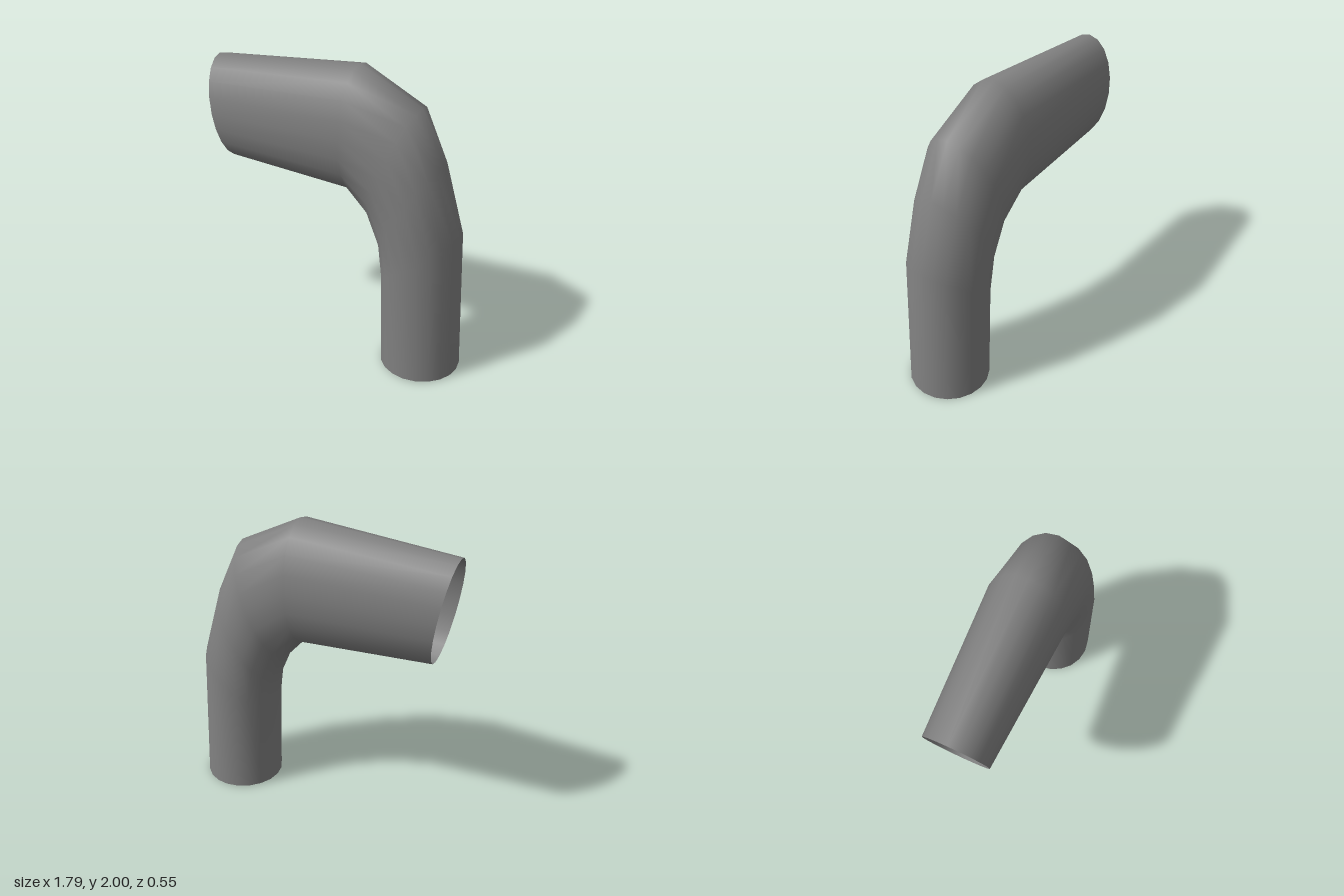
import * as THREE from 'three';

// Cross-sections along the pipe: outer x, y, inner x, y, half depth, z centre
const RINGS = [
  [-0.897, 1.91, -0.783, 1.213, 0.21, -0.008],
  [0.14, 2.00, 0.115, 1.17, 0.265, -0.009],
  [0.565, 1.79, 0.25, 1.02, 0.267, -0.003],
  [0.72, 1.455, 0.333, 0.825, 0.267, 0.002],
  [0.857, 0.99, 0.348, 0.63, 0.266, 0.003],
  [0.896, 0.00, 0.363, 0.006, 0.267, 0.007],
];
const SIDES = 20;

// Joins elliptical rings into an open tube with shared, smooth vertices
function loftGeometry(rings, sides) {
  const positions = [];
  const indices = [];
  rings.forEach(([ox, oy, ix, iy, depth, z], i) => {
    for (let j = 0; j < sides; j++) {
      const angle = (j / sides) * Math.PI * 2;
      const t = (1 + Math.cos(angle)) / 2;
      positions.push(ix + (ox - ix) * t, iy + (oy - iy) * t, z + depth * Math.sin(angle));
      if (i === rings.length - 1) continue;
      const a = i * sides + j;
      const b = i * sides + (j + 1) % sides;
      indices.push(a, b, a + sides, b, b + sides, a + sides);
    }
  });
  const geometry = new THREE.BufferGeometry();
  geometry.setAttribute('position', new THREE.Float32BufferAttribute(positions, 3));
  geometry.setIndex(indices);
  geometry.computeVertexNormals();
  return geometry;
}

export function createModel() {
  const group = new THREE.Group();
  group.name = 'bentPipe';

  // Thin dark grey pipe elbow, open at both ends
  const material = new THREE.MeshStandardMaterial({ color: 0x808080, side: THREE.DoubleSide });
  const elbow = new THREE.Mesh(loftGeometry(RINGS, SIDES), material);
  elbow.name = 'pipeElbow';
  group.add(elbow);

  return group;
}
